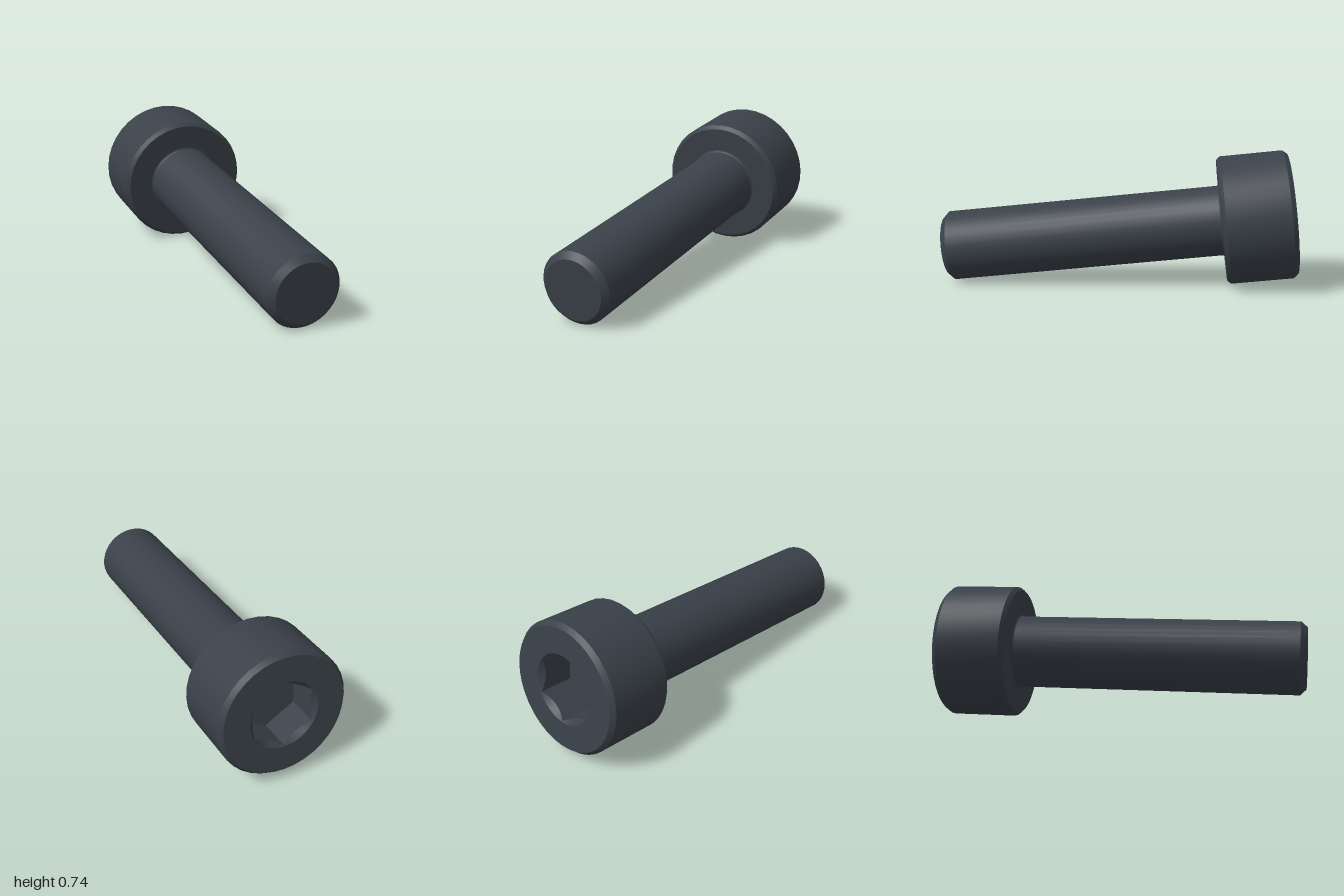
import * as THREE from 'three';
import { toCreasedNormals } from 'three/addons/utils/BufferGeometryUtils.js';

const SEGMENTS = 36;
const HEAD_R = 0.354, HEAD_H = 0.387;
const SHAFT_R = 0.193, LENGTH = 1.935;
const SOCKET_RIM = 0.19, SOCKET_FLAT = 0.161, SOCKET_DEPTH = 0.19;

// Turned surface around local y; y = 0 is the head face, y = LENGTH the tip
function turned(profile) {
  return new THREE.LatheGeometry(profile.map(([r, y]) => new THREE.Vector2(r, y)), SEGMENTS);
}

// Hexagonal socket: a turned cup whose wall is pulled out to a hexagon, with a conical lead-in
function socketGeometry() {
  const geometry = turned([[0, SOCKET_DEPTH], [1, SOCKET_DEPTH], [1, 0], [SOCKET_RIM, 0]]);
  const pos = geometry.attributes.position;
  for (let i = 0; i < pos.count; i++) {
    const ring = i % 4;
    if (ring !== 1 && ring !== 2) continue;
    const step = Math.floor(i / 4);
    const phi = (step / SEGMENTS) * Math.PI * 2;
    // Corners fall on +x and every 60 degrees from there
    const fromMiddle = ((step + 3) % 6) / 6 * (Math.PI / 3) - Math.PI / 6;
    const r = SOCKET_FLAT / Math.cos(fromMiddle);
    const y = ring === 1 ? SOCKET_DEPTH : SOCKET_RIM - r;
    pos.setXYZ(i, r * Math.sin(phi), y, r * Math.cos(phi));
  }
  return geometry;
}

export function createModel() {
  const model = new THREE.Group();
  model.name = 'socketHeadScrew';
  const steel = new THREE.MeshStandardMaterial({ color: 0x3a4149 });
  steel.name = 'darkSteel';

  const add = (name, geometry) => {
    const mesh = new THREE.Mesh(toCreasedNormals(geometry, Math.PI / 6), steel);
    mesh.name = name;
    screw.add(mesh);
  };

  const screw = new THREE.Group();
  screw.name = 'screw';
  model.add(screw);

  // Fillet where the shaft meets the underside of the head
  const f = 0.013, fillet = [];
  for (let i = 0; i <= 4; i++) {
    const a = (i / 4) * Math.PI / 2;
    fillet.push([SHAFT_R + f * (1 - Math.sin(a)), HEAD_H + f * (1 - Math.cos(a))]);
  }

  // Head with both edges chamfered
  add('head', turned([
    [SOCKET_RIM, 0], [HEAD_R - 0.02, 0], [HEAD_R, 0.025],
    [HEAD_R, HEAD_H - 0.02], [HEAD_R - 0.019, HEAD_H], fillet[0],
  ]));
  add('hexSocket', socketGeometry());

  // Shaft with a chamfered tip
  add('shaft', turned([
    ...fillet, [SHAFT_R, LENGTH - 0.032], [SHAFT_R - 0.031, LENGTH], [0, LENGTH],
  ]));

  // Lay the screw along its tilted axis, one socket corner pointing up
  const axis = new THREE.Vector3(1, -0.109, 0.215).normalize();
  const up = new THREE.Vector3(0, 1, 0).addScaledVector(axis, -axis.y).normalize();
  const side = new THREE.Vector3().crossVectors(up, axis);
  screw.quaternion.setFromRotationMatrix(new THREE.Matrix4().makeBasis(up, axis, side));
  screw.position.set(0.961, 0.191, 0.281).addScaledVector(axis, -LENGTH);
  return model;
}
